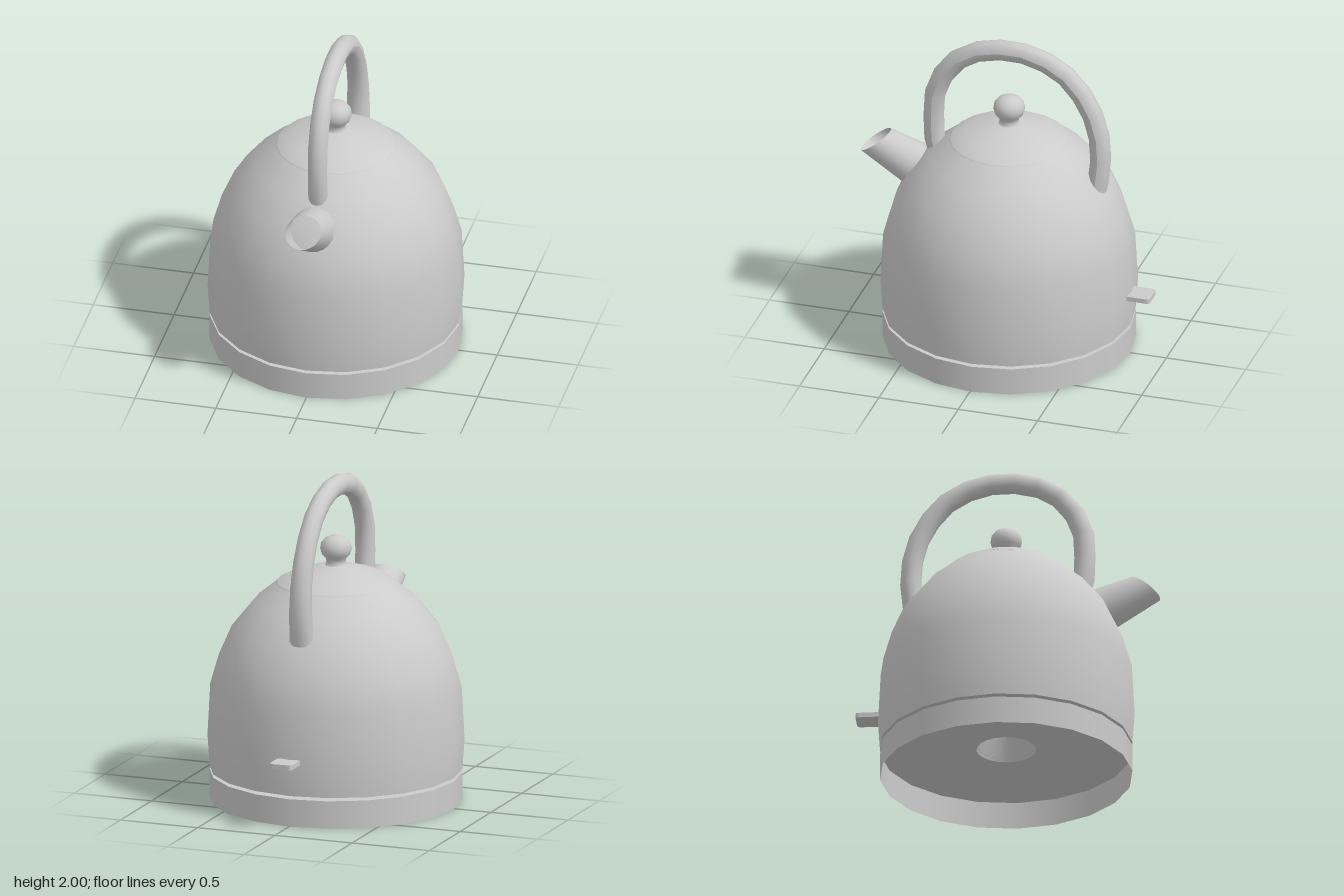
import * as THREE from 'three';

const SIDES = 20;
const CENTRE_Z = -0.01;
const grey = new THREE.MeshStandardMaterial({ color: 0xcccccc });
const greyDouble = new THREE.MeshStandardMaterial({ color: 0xcccccc, side: THREE.DoubleSide });

function add(parent, name, geometry, material = grey) {
  const mesh = new THREE.Mesh(geometry, material);
  mesh.name = name;
  parent.add(mesh);
  return mesh;
}

// Surface of revolution from [radius, height] pairs, bottom to top
function turned(pairs, sides = SIDES) {
  return new THREE.LatheGeometry(pairs.map(([r, y]) => new THREE.Vector2(r, y)), sides);
}

// Skin over elliptical rings: centre (z, y), half axis (dz, dy) in the side plane, half width rx
function ringSkin(rings, sides) {
  const pos = [], index = [];
  for (const { z, y, dz, dy, rx } of rings) {
    for (let i = 0; i < sides; i++) {
      const a = (i / sides) * Math.PI * 2;
      pos.push(rx * Math.sin(a), y + dy * Math.cos(a), z + dz * Math.cos(a));
    }
  }
  for (let r = 0; r < rings.length - 1; r++) {
    for (let i = 0; i < sides; i++) {
      const a = r * sides + i, b = r * sides + (i + 1) % sides;
      index.push(a, a + sides, b, b, a + sides, b + sides);
    }
  }
  const g = new THREE.BufferGeometry();
  g.setAttribute('position', new THREE.Float32BufferAttribute(pos, 3));
  g.setIndex(index);
  g.computeVertexNormals();
  return g;
}

// Arched handle, wider across where it meets the back of the body
function handleGeometry() {
  const path = [
    [0.42, 1.14], [0.455, 1.25], [0.465, 1.41], [0.45, 1.61], [0.38, 1.75], [0.265, 1.865],
    [0.12, 1.92], [-0.04, 1.938], [-0.205, 1.907], [-0.355, 1.83], [-0.465, 1.71],
    [-0.55, 1.545], [-0.587, 1.333], [-0.565, 1.1], [-0.545, 1.0],
  ].map(([z, y]) => new THREE.Vector3(0, y, z));
  const steps = 16, around = 12;
  const g = new THREE.TubeGeometry(new THREE.CatmullRomCurve3(path), steps, 0.064, around, false);
  const p = g.attributes.position;
  for (let i = 0; i < p.count; i++) {
    const t = Math.floor(i / (around + 1)) / steps;
    const width = t < 0.5 ? 0.95 - 0.1 * t : 0.9 + 0.35 * (2 * t - 1) ** 2;
    p.setX(i, p.getX(i) * width);
  }
  g.computeVertexNormals();
  return g;
}

// Flat switch tab with rounded outer corners
function switchGeometry() {
  const w = 0.072, back = 0.905, c = 0.025;
  const s = new THREE.Shape();
  s.moveTo(-w, 0.68);
  s.lineTo(w, 0.68);
  s.lineTo(w, back - c);
  s.quadraticCurveTo(w, back, w - c, back);
  s.lineTo(-w + c, back);
  s.quadraticCurveTo(-w, back, -w, back - c);
  s.closePath();
  const g = new THREE.ExtrudeGeometry(s, { depth: 0.03, bevelEnabled: false, curveSegments: 4 });
  g.rotateX(-Math.PI / 2); // shape y becomes -z, depth becomes y
  return g;
}

export function createModel() {
  const model = new THREE.Group();
  model.name = 'kettle';

  const round = new THREE.Group();
  round.name = 'turnedParts';
  round.position.z = CENTRE_Z;
  model.add(round);

  // Power base: shell open underneath, with a hollow connector in the middle
  const base = new THREE.Group();
  base.name = 'powerBase';
  round.add(base);
  add(base, 'baseWall', turned([[0.762, 0], [0.762, 0.17]]), greyDouble);
  add(base, 'baseTop', turned([[0.762, 0.17], [0.18, 0.17]]), greyDouble);
  add(base, 'connectorWall', turned([[0.18, 0.17], [0.12, 0.32]]), greyDouble);
  add(base, 'connectorTop', turned([[0.12, 0.32], [0, 0.32]]), greyDouble);

  // Domed body
  add(round, 'body', turned([
    [0.762, 0.19], [0.775, 0.38], [0.758, 0.7], [0.706, 0.88],
    [0.628, 1.06], [0.495, 1.224], [0.36, 1.335],
  ]));
  add(round, 'bodyUnderside', turned([[0.17, 0.19], [0.762, 0.19]]), greyDouble);

  // Lid and knob
  add(round, 'lid', turned([
    [0.362, 1.335], [0.355, 1.345], [0.27, 1.392], [0.135, 1.434], [0.06, 1.447],
  ]));
  add(round, 'knob', turned([
    [0.085, 1.435], [0.065, 1.445], [0.058, 1.465], [0.062, 1.488], [0.085, 1.512],
    [0.096, 1.546], [0.09, 1.582], [0.068, 1.61], [0.038, 1.625], [0, 1.63],
  ]));

  // Spout with a slanted mouth
  add(model, 'spout', ringSkin([
    { z: 0.51, y: 1.046, dz: -0.07, dy: 0.125, rx: 0.138 },
    { z: 0.585, y: 1.082, dz: -0.075, dy: 0.114, rx: 0.135 },
    { z: 0.83, y: 1.203, dz: -0.09, dy: 0.067, rx: 0.11 },
  ], 20), greyDouble);

  add(model, 'handle', handleGeometry(), greyDouble);

  const tab = add(model, 'switchTab', switchGeometry());
  tab.position.set(0, 0.388, -0.01);

  return model;
}
